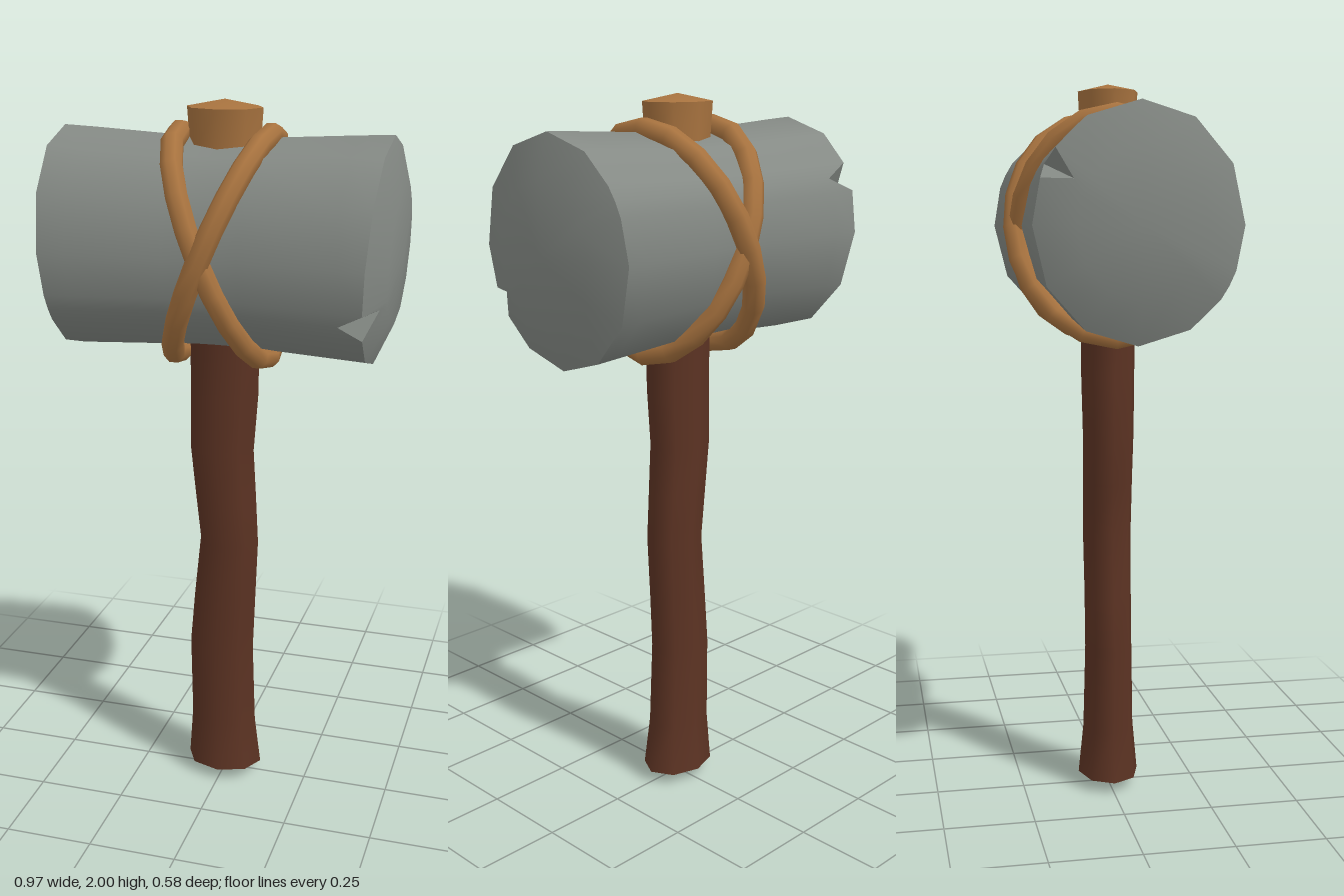
import * as THREE from 'three';
import { mergeVertices } from 'three/addons/utils/BufferGeometryUtils.js';

const stone = new THREE.MeshStandardMaterial({ color: 0x858a85 });
const bark = new THREE.MeshStandardMaterial({ color: 0x5c3323 });
const tan = new THREE.MeshStandardMaterial({ color: 0xa8733f });
stone.name = 'grey stone';
bark.name = 'dark bark';
tan.name = 'tan wood and cord';

const V = (x, y, z) => new THREE.Vector3(x, y, z);

function add(group, name, geometry, material) {
  const mesh = new THREE.Mesh(geometry, material);
  mesh.name = name;
  group.add(mesh);
}

// Smooth skin over closed rings of points
function skin(rows) {
  const n = rows[0].length;
  const index = [];
  for (let i = 0; i < rows.length - 1; i++) {
    for (let j = 0; j < n; j++) {
      const k = (j + 1) % n;
      const a = i * n + j, b = a + n, c = i * n + k, d = c + n;
      index.push(a, b, c, c, b, d);
    }
  }
  let g = new THREE.BufferGeometry().setFromPoints(rows.flat());
  g.setIndex(index);
  g = mergeVertices(g, 1e-5);
  g.computeVertexNormals();
  return g;
}

const HEAD_Y = 1.62;
// Twelve-sided ring, with extra points beside the two chips
const angles = [];
for (let d = 0; d < 360; d += 30) {
  if (d === 150 || d === 330) angles.push(d - 8, d, d + 8);
  else angles.push(d);
}
const chips = { '1': angles.indexOf(330), '-1': angles.indexOf(150) };

// Head ring: x may depend on height, scale shrinks it towards the end centre
function headRing(x, tilt = 0, scale = 1) {
  return angles.map((deg) => {
    const t = THREE.MathUtils.degToRad(deg);
    const px = x + Math.sign(x) * tilt * Math.sin(t);
    const w = Math.min(Math.abs(px) / 0.43, 1);
    return V(px, HEAD_Y + (0.278 + 0.024 * w) * scale * Math.sin(t),
      (0.237 + 0.032 * w) * scale * Math.cos(t));
  });
}

function buildHead() {
  const head = new THREE.Group();
  head.name = 'stoneHead';
  const ends = {};
  for (const s of [-1, 1]) {
    const i = chips[s];
    const inner = headRing(s * 0.36);
    const wallRim = headRing(s * 0.432, 0.018);
    const capRim = wallRim.slice();
    const ring = headRing(s * 0.474, 0.008, 0.62);
    const tip = inner[i];
    const deep = wallRim[i].clone().lerp(ring[i], 0.7);
    wallRim[i] = tip;
    capRim[i] = deep;
    ends[s] = { inner, wallRim };

    // Slightly domed end face
    const cap = [capRim, ring, angles.map(() => V(s * 0.485, HEAD_Y, 0))];
    if (s < 0) cap.reverse();
    add(head, s > 0 ? 'leftEndFace' : 'rightEndFace', skin(cap), stone);

    // Two flat faces of the chip
    const a = wallRim[i - 1], b = wallRim[i + 1];
    const pts = s > 0 ? [a, deep, tip, b, tip, deep] : [a, tip, deep, b, deep, tip];
    const g = new THREE.BufferGeometry().setFromPoints(pts);
    g.computeVertexNormals();
    add(head, s > 0 ? 'leftChip' : 'rightChip', g, stone);
  }
  add(head, 'headWall', skin([
    ends[-1].wallRim, ends[-1].inner, headRing(-0.1), headRing(0.1),
    ends[1].inner, ends[1].wallRim,
  ]), stone);
  return head;
}

// Eight-sided handle section
function handleRing([y, cx, rx, rz]) {
  return Array.from({ length: 8 }, (_, i) => {
    const t = (i / 8) * Math.PI * 2;
    return V(cx + rx * Math.cos(t), y, rz * Math.sin(t));
  });
}

function buildHandle() {
  const handle = new THREE.Group();
  handle.name = 'handle';
  const shaft = [ // y, centre x, half width, half depth
    [0.035, 0, 0.112, 0.087], [0.18, -0.004, 0.098, 0.073],
    [0.42, -0.01, 0.096, 0.068], [0.58, 0, 0.092, 0.068],
    [0.76, 0.013, 0.086, 0.07], [0.9, 0.002, 0.09, 0.071],
    [1.04, -0.009, 0.093, 0.073], [1.2, -0.002, 0.098, 0.076],
    [1.45, 0, 0.1, 0.078],
  ].map(handleRing);
  const knob = [[1.75, 0, 0.092, 0.074], [1.87, 0, 0.096, 0.077], [1.98, 0, 0.104, 0.083]].map(handleRing);
  add(handle, 'shaft', skin(shaft), bark);
  add(handle, 'shaftBottom', skin([handleRing([0.002, 0, 0, 0]), shaft[0]]), tan);
  add(handle, 'knob', skin(knob), tan);
  add(handle, 'knobTop', skin([knob[2], handleRing([2, 0, 0, 0])]), tan);
  return handle;
}

// Slanted cord loop around the head
function cordLoop(side, depth) {
  const pts = Array.from({ length: 16 }, (_, i) => {
    const t = (i / 16) * Math.PI * 2;
    return V(side * 0.125 * Math.sin(t), 1.615 + 0.298 * Math.sin(t), depth * Math.cos(t));
  });
  const path = new THREE.CatmullRomCurve3(pts, true);
  return new THREE.TubeGeometry(path, 20, 0.031, 8, true);
}

export function createModel() {
  const model = new THREE.Group();
  model.name = 'stoneMallet';
  model.add(buildHead(), buildHandle());
  const binding = new THREE.Group();
  binding.name = 'binding';
  add(binding, 'outerCord', cordLoop(1, 0.26), tan);
  add(binding, 'innerCord', cordLoop(-1, 0.247), tan);
  model.add(binding);
  return model;
}
